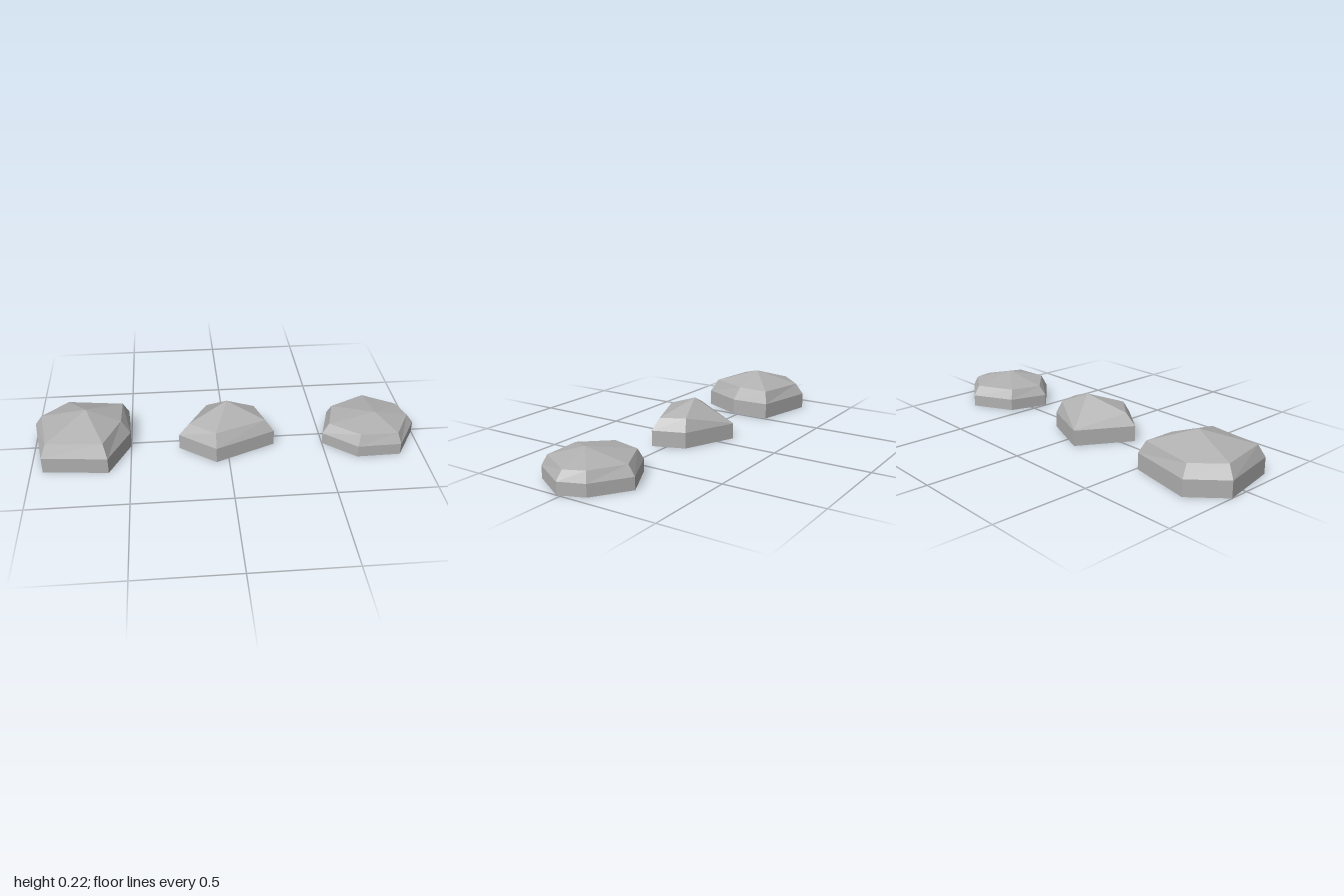
import * as THREE from 'three';

// Each rock: vertical wall around an outline, a bevel up to a smaller ring, facets up to a peak.
// outline: [x, z] clockwise from above; ring: [x, y, z] in the same order.
const ROCKS = [
  {
    name: 'largeRock', wall: 0.084, peak: [-0.72, 0.22, -0.005],
    outline: [[-1, -0.1], [-0.845, -0.25], [-0.51, -0.18], [-0.5, 0.025], [-0.61, 0.248], [-0.94, 0.215]],
    ring: [[-0.96, 0.145, -0.08], [-0.83, 0.143, -0.21], [-0.54, 0.148, -0.16],
      [-0.545, 0.15, 0.01], [-0.63, 0.152, 0.21], [-0.915, 0.148, 0.185]],
  },
  {
    // the back corner has no bevel, its ring point sits on the wall
    name: 'pointedRock', wall: 0.082, peak: [0.005, 0.217, -0.033],
    outline: [[-0.25, 0.065], [-0.09, -0.21], [0.185, -0.095], [0.245, 0.07], [-0.065, 0.205]],
    ring: [[-0.195, 0.142, 0.053], [-0.09, 0.083, -0.209], [0.155, 0.147, -0.078],
      [0.2, 0.141, 0.052], [-0.065, 0.146, 0.16]],
  },
  {
    name: 'flatRock', wall: 0.062, peak: [0.78, 0.155, 0.045],
    outline: [[0.5, 0.085], [0.56, -0.115], [0.77, -0.225], [0.95, -0.105], [1, 0.02], [0.885, 0.215], [0.66, 0.22]],
    ring: [[0.535, 0.111, 0.07], [0.58, 0.113, -0.095], [0.77, 0.113, -0.19], [0.93, 0.112, -0.09],
      [0.965, 0.107, 0.015], [0.87, 0.114, 0.19], [0.675, 0.118, 0.195]],
  },
];

function rockGeometry({ outline, wall, ring, peak }) {
  const pos = [];
  const tri = (a, b, c) => pos.push(...a, ...b, ...c);
  const quad = (a, b, c, d) => { tri(a, b, c); tri(a, c, d); };
  const base = outline.map(([x, z]) => [x, 0, z]);
  const top = outline.map(([x, z]) => [x, wall, z]);
  const n = outline.length;
  for (let i = 0; i < n; i++) {
    const j = (i + 1) % n;
    quad(base[j], base[i], top[i], top[j]); // wall
    quad(top[j], top[i], ring[i], ring[j]); // bevel
    tri(ring[j], ring[i], peak); // crown
    if (i > 0 && j > 0) tri(base[0], base[i], base[j]); // underside
  }
  const geometry = new THREE.BufferGeometry();
  geometry.setAttribute('position', new THREE.Float32BufferAttribute(pos, 3));
  geometry.computeVertexNormals();
  return geometry;
}

export function createModel() {
  const group = new THREE.Group();
  group.name = 'rocks';
  const stone = new THREE.MeshStandardMaterial({ color: 0xb0b0b0, flatShading: true });
  stone.name = 'stoneGrey';
  for (const rock of ROCKS) {
    const mesh = new THREE.Mesh(rockGeometry(rock), stone);
    mesh.name = rock.name;
    group.add(mesh);
  }
  return group;
}
